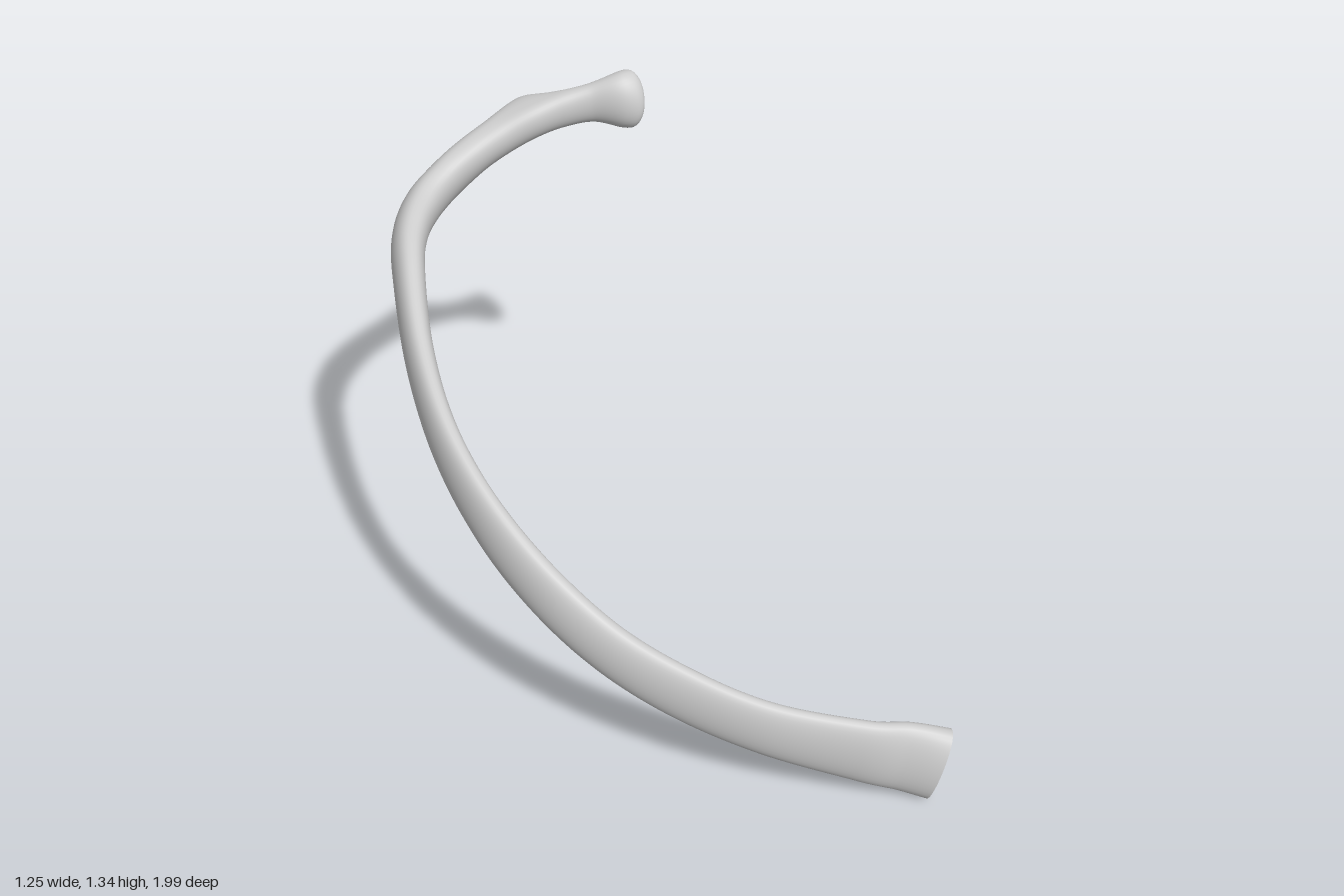
import * as THREE from 'three';

// Stations from the cut front end to the head: centre x, y, z, half height, half thickness
const STATIONS = [
  [-0.147, 0.107, 0.962, 0.108, 0.05],
  [-0.2, 0.132, 0.888, 0.106, 0.04],
  [-0.278, 0.162, 0.8, 0.098, 0.034],
  [-0.412, 0.225, 0.6, 0.084, 0.032],
  [-0.5, 0.296, 0.4, 0.081, 0.033],
  [-0.561, 0.39, 0.2, 0.076, 0.035],
  [-0.588, 0.515, 0, 0.075, 0.036],
  [-0.568, 0.638, -0.2, 0.074, 0.035],
  [-0.495, 0.75, -0.4, 0.074, 0.036],
  [-0.367, 0.86, -0.6, 0.075, 0.039],
  [-0.205, 0.978, -0.785, 0.075, 0.044],
  [-0.105, 1.025, -0.872, 0.077, 0.05],
  [0, 1.053, -0.924, 0.082, 0.055],
  [0.1, 1.095, -0.928, 0.073, 0.053],
  [0.2, 1.15, -0.9, 0.06, 0.053],
  [0.285, 1.19, -0.862, 0.055, 0.052],
  [0.358, 1.222, -0.812, 0.052, 0.045],
  [0.43, 1.243, -0.763, 0.053, 0.04],
  [0.5, 1.257, -0.703, 0.058, 0.037],
  [0.565, 1.262, -0.638, 0.083, 0.055],
  [0.615, 1.255, -0.617, 0.08, 0.064],
];
const LAST = STATIONS.length - 1;
const RINGS = LAST * 20;
const SIDES = 36;

const track = (pick) => new THREE.CatmullRomCurve3(
  STATIONS.map((s) => new THREE.Vector3(...pick(s))), false, 'catmullrom', 0.5);
const bump = (x, centre, width) => Math.exp(-(((x - centre) / width) ** 2));

// Cross-section rings swept along the centre line
function makeRings() {
  const path = track((s) => s.slice(0, 3));
  const size = track((s) => [s[3], s[4], 0]);
  const rings = [];
  for (let i = 0; i <= RINGS; i++) {
    const t = i / RINGS;
    const at = t * LAST;
    const centre = path.getPoint(t);
    const dir = path.getTangent(t);
    // the head closes in a dome
    const dome = Math.sqrt(1 - Math.max(0, (at - LAST + 0.7) / 0.7) ** 2);
    const { x: h, y: w } = size.getPoint(t).multiplyScalar(dome);
    // the top leans inward along the shaft, the back bend and the cut end; the head leans back
    const roll = 0.48 * bump(at, 13, 3) + 0.16 * bump(at, 6, 2.5)
      + 0.15 * bump(at, 0, 1.5) - 0.4 * bump(at, LAST, 1.2);
    const groove = 0.42 * bump(at, 7.8, 3);
    // knob on the outer side where the neck begins
    const tubercle = 1.25 * bump(at, 16.1, 0.85);
    const up = new THREE.Vector3(0, 1, 0).addScaledVector(dir, -dir.y).normalize();
    up.applyAxisAngle(dir, roll);
    const inward = new THREE.Vector3().crossVectors(dir, up);
    const ring = [];
    for (let j = 0; j < SIDES; j++) {
      const a = (j / SIDES) * Math.PI * 2;
      const v = Math.sin(a);
      // slightly squared oval, hollowed along the lower inner face
      let s = Math.sign(Math.cos(a)) * Math.abs(Math.cos(a)) ** 0.85;
      s *= s > 0 ? 1 - groove * bump(v, -0.55, 0.4) : 1 + tubercle;
      ring.push(centre.clone().addScaledVector(up, v * h).addScaledVector(inward, s * w));
    }
    rings.push(ring);
  }
  return rings;
}

function makeGeometry(points, index) {
  const geo = new THREE.BufferGeometry().setFromPoints(points);
  geo.setIndex(index);
  geo.computeVertexNormals();
  return geo;
}

// Smooth skin over all rings
function makeShaft(rings) {
  const index = [];
  for (let i = 0; i < RINGS; i++) {
    for (let j = 0; j < SIDES; j++) {
      const a = i * SIDES + j;
      const b = i * SIDES + ((j + 1) % SIDES);
      const c = a + SIDES;
      const d = b + SIDES;
      index.push(a, c, b, b, c, d);
    }
  }
  return makeGeometry(rings.flat(), index);
}

// Flat fan over the cut front end
function makeCutEnd(ring) {
  const mid = new THREE.Vector3();
  ring.forEach((p) => mid.addScaledVector(p, 1 / SIDES));
  const index = [];
  for (let j = 0; j < SIDES; j++) index.push(0, j + 1, ((j + 1) % SIDES) + 1);
  return makeGeometry([mid, ...ring], index);
}

export function createModel() {
  const group = new THREE.Group();
  group.name = 'rib';
  const material = new THREE.MeshStandardMaterial({ color: 0xcccccc });
  const add = (name, geo) => {
    const mesh = new THREE.Mesh(geo, material);
    mesh.name = name;
    group.add(mesh);
  };
  const rings = makeRings();
  add('ribShaft', makeShaft(rings));
  add('cutEnd', makeCutEnd(rings[0]));
  return group;
}
